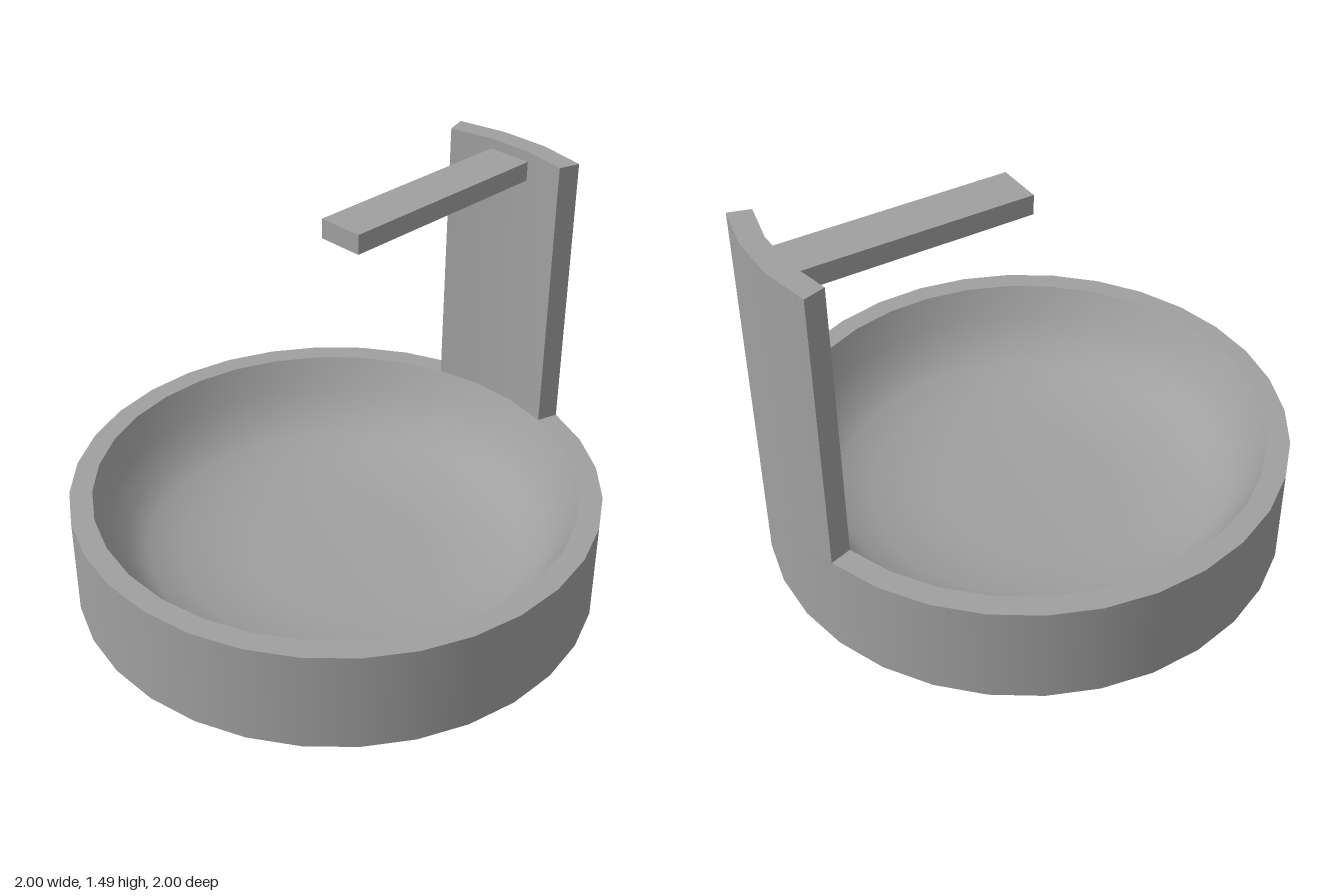
import * as THREE from 'three';
import { toCreasedNormals } from 'three/addons/utils/BufferGeometryUtils.js';

const SIDES = 32;
const STEP = (Math.PI * 2) / SIDES;
const OUTER = 1, INNER = 0.915, RIM_Y = 0.395, TOP_Y = 1.485;

export function createModel() {
  const model = new THREE.Group();
  const material = new THREE.MeshStandardMaterial({ color: 0xa0a0a0 });

  const add = (name, geometry, parent = model) => {
    const mesh = new THREE.Mesh(geometry, material);
    mesh.name = name;
    parent.add(mesh);
    return mesh;
  };
  const lathe = (points) =>
    new THREE.LatheGeometry(points.map(([r, y]) => new THREE.Vector2(r, y)), SIDES);
  // Plan shape (x, -z) raised by a height
  const raise = (shape, depth) =>
    new THREE.ExtrudeGeometry(shape, { depth, bevelEnabled: false }).rotateX(-Math.PI / 2);

  // Basin: separate surfaces keep the rim edges sharp
  const basin = new THREE.Group();
  basin.name = 'basin';
  model.add(basin);
  add('basinUnderside', lathe([[0, 0], [OUTER, 0]]), basin);
  add('basinOuterWall', lathe([[OUTER, 0], [OUTER, RIM_Y]]), basin);
  add('basinRim', lathe([[OUTER, RIM_Y], [INNER, RIM_Y]]), basin);
  add('basinBowl', lathe([
    [INNER, RIM_Y], [0.865, 0.28], [0.8, 0.185], [0.72, 0.125],
    [0.6, 0.083], [0.46, 0.056], [0.32, 0.045], [0, 0.045],
  ]), basin);

  // Back panel: three rim segments carried upward
  const arc = (r) => [-2, -1, 0, 1].map((i) =>
    new THREE.Vector2(r * Math.sin(i * STEP), r * Math.cos(i * STEP)));
  const panelShape = new THREE.Shape([...arc(INNER), ...arc(OUTER).reverse()]);
  const panel = add('backPanel', toCreasedNormals(raise(panelShape, TOP_Y - RIM_Y), 0.5));
  panel.position.y = RIM_Y;

  // Spout: stands square to the middle segment of the panel
  const spout = new THREE.Group();
  spout.name = 'spout';
  spout.rotation.y = STEP / 2;
  model.add(spout);
  const halfW = INNER * Math.sin(STEP / 2);
  const root = INNER * Math.cos(STEP / 2), tip = 0.02;
  const rectangle = (Type, w, y0, y1) => new Type([
    new THREE.Vector2(-w, y0), new THREE.Vector2(w, y0),
    new THREE.Vector2(w, y1), new THREE.Vector2(-w, y1),
  ]);

  // Lower layer carries the shallow outlet recess
  const lower = rectangle(THREE.Shape, halfW, tip, root);
  lower.holes.push(rectangle(THREE.Path, 0.07, tip + 0.02, tip + 0.16));
  add('spoutOutlet', raise(lower, 0.015), spout).position.y = 1.37;
  add('spoutBody', raise(rectangle(THREE.Shape, halfW, tip, root), 0.06), spout).position.y = 1.385;

  return model;
}
